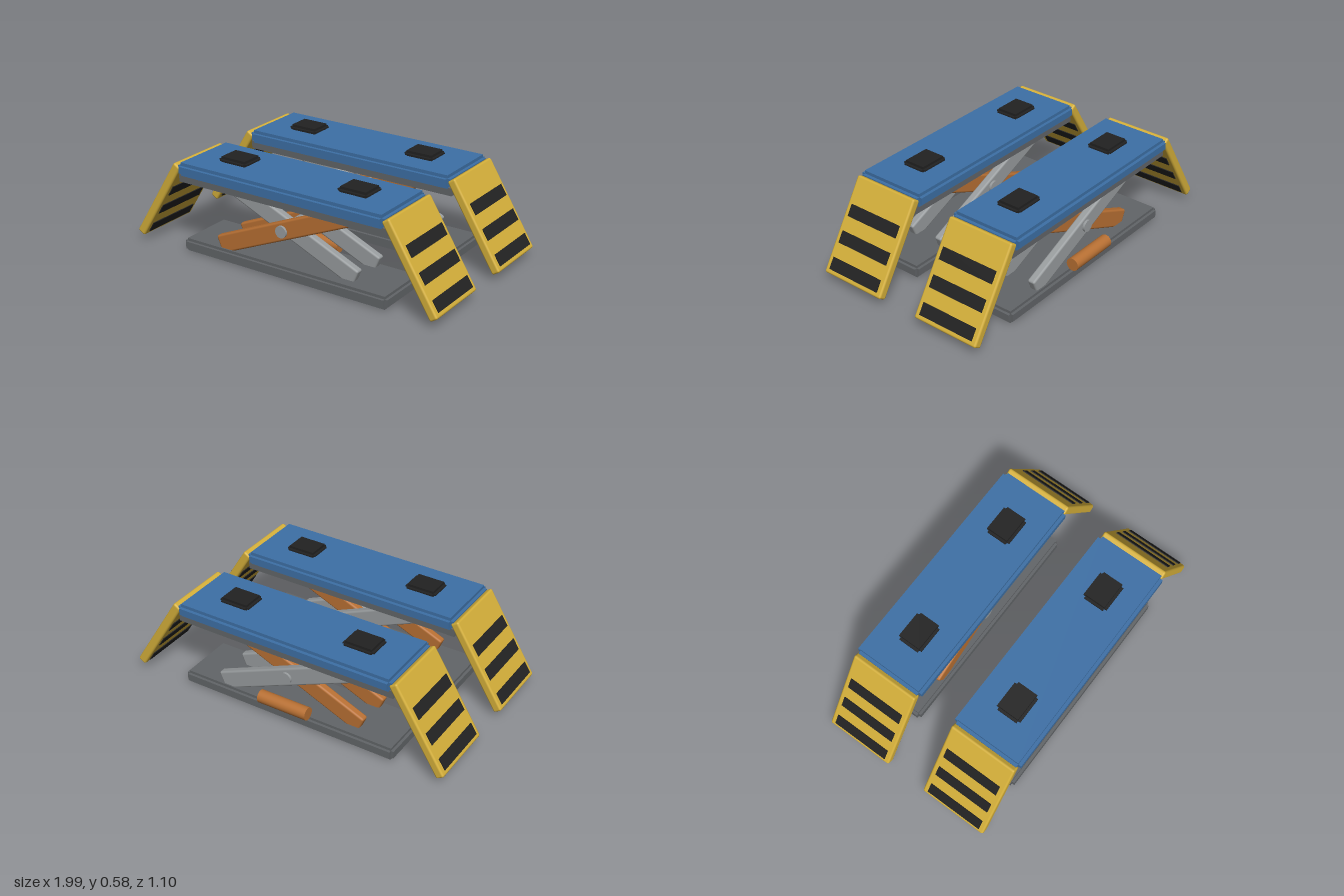
import * as THREE from 'three';
import { mergeGeometries } from 'three/addons/utils/BufferGeometryUtils.js';
import { RoundedBoxGeometry } from 'three/addons/geometries/RoundedBoxGeometry.js';

const paint = (name, hex) => {
  const m = new THREE.MeshStandardMaterial({ color: hex });
  m.name = name;
  return m;
};

// Slab with stepped edges: three crossed boxes
function steppedSlab(w, h, d, b) {
  return mergeGeometries([
    new THREE.BoxGeometry(w, h - 2 * b, d - 2 * b),
    new THREE.BoxGeometry(w - 2 * b, h, d - 2 * b),
    new THREE.BoxGeometry(w - 2 * b, h - 2 * b, d),
  ]);
}

function add(parent, name, geometry, material, x = 0, y = 0, z = 0) {
  const mesh = new THREE.Mesh(geometry, material);
  mesh.name = name;
  mesh.position.set(x, y, z);
  parent.add(mesh);
  return mesh;
}

export function createModel() {
  const blue = paint('deckBlue', 0x3d70a6);
  const yellow = paint('rampYellow', 0xd4af3a);
  const black = paint('rubberBlack', 0x222222);
  const steel = paint('frameGrey', 0x626568);
  const silver = paint('armGrey', 0x989c9e);
  const copper = paint('armOrange', 0xb87033);

  const model = new THREE.Group();
  model.name = 'scissorLift';

  for (const side of [1, -1]) {
    const lift = new THREE.Group();
    lift.name = side > 0 ? 'frontPlatform' : 'rearPlatform';
    lift.position.z = side * 0.331;
    model.add(lift);

    // Base, under-deck frame and deck
    add(lift, 'base', steppedSlab(1.355, 0.075, 0.355, 0.016), steel, 0, 0.0375);
    add(lift, 'deckFrame', new THREE.BoxGeometry(1.36, 0.045, 0.38), steel, 0, 0.4475);
    add(lift, 'deck', steppedSlab(1.352, 0.078, 0.437, 0.019), blue, 0, 0.506);

    // Two pairs of crossed arms
    const tilt = 0.405;
    const arm = new RoundedBoxGeometry(0.95, 0.107, 0.048, 2, 0.012);
    for (const z of [0.13, -0.08]) {
      add(lift, 'orangeArm', arm, copper, 0, 0.275, z).rotation.z = tilt;
      add(lift, 'greyArm', arm, silver, 0, 0.275, -z).rotation.z = -tilt;
    }

    // Pivot pin through the arms
    const pin = new THREE.CylinderGeometry(0.035, 0.035, 0.335, 24);
    add(lift, 'pivotPin', pin, silver, 0, 0.275).rotation.x = Math.PI / 2;

    // Hydraulic cylinder along the back edge of the base
    const ram = new THREE.CylinderGeometry(0.038, 0.038, 0.31, 24);
    add(lift, 'hydraulicCylinder', ram, copper, 0, 0.108, -0.18).rotation.z = Math.PI / 2;

    for (const end of [1, -1]) {
      // Rubber pads on the deck
      add(lift, 'pad', steppedSlab(0.19, 0.038, 0.155, 0.015), black, end * 0.395, 0.559);

      // Sloping end ramp with hazard stripes on both faces
      const ramp = new THREE.Group();
      ramp.name = end > 0 ? 'leftRamp' : 'rightRamp';
      ramp.position.set(end * 0.83, 0.285, 0);
      ramp.rotation.z = -end * 1.012;
      lift.add(ramp);
      add(ramp, 'rampPlate', new RoundedBoxGeometry(0.562, 0.052, 0.416, 2, 0.012), yellow);
      for (const s of [-0.087, 0.066, 0.219]) {
        add(ramp, 'stripe', new THREE.BoxGeometry(0.07, 0.062, 0.354), black, end * s);
      }
    }
  }
  return model;
}
